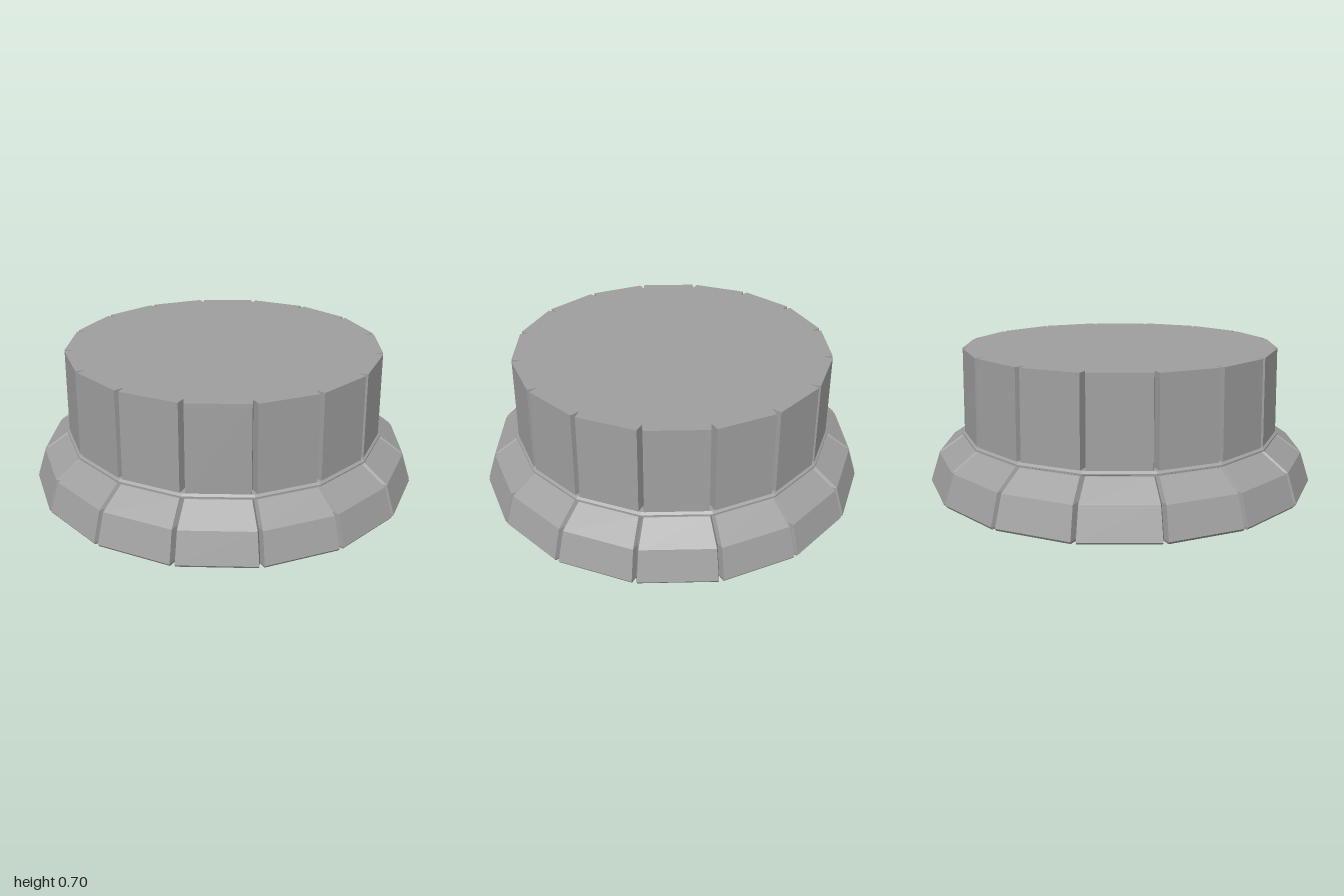
import * as THREE from 'three';

const SIDES = 16;
const PHASE = THREE.MathUtils.degToRad(5.4);

// Outline of a regular polygon whose corners are cut by narrow V notches.
function outline(radius, halfGap, depth) {
  const corner = (k) => {
    const a = PHASE + (k * 2 * Math.PI) / SIDES;
    return new THREE.Vector2(Math.cos(a), Math.sin(a)).multiplyScalar(radius);
  };
  const points = [];
  for (let k = 0; k < SIDES; k++) {
    const c = corner(k);
    if (!depth) { points.push(c); continue; }
    const t = halfGap / (2 * radius * Math.sin(Math.PI / SIDES));
    points.push(
      c.clone().lerp(corner(k - 1), t),
      c.clone().multiplyScalar(1 - depth / radius),
      c.clone().lerp(corner(k + 1), t),
    );
  }
  return points;
}

// Loft through [radius, y] levels, closed with a cap at each end.
function loft(name, levels, halfGap, depth, material) {
  const positions = [];
  const index = [];
  const n = depth ? SIDES * 3 : SIDES;
  for (const [r, y] of levels) {
    for (const p of outline(r, halfGap, depth)) positions.push(p.x, y, -p.y);
  }
  const last = (levels.length - 1) * n;
  const bottom = levels.length * n;
  positions.push(0, levels[0][1], 0, 0, levels[levels.length - 1][1], 0);
  for (let i = 0; i < n; i++) {
    const j = (i + 1) % n;
    for (let l = 0; l < last; l += n) {
      index.push(l + i, l + j, l + n + j, l + i, l + n + j, l + n + i);
    }
    index.push(bottom, j, i, bottom + 1, last + i, last + j);
  }
  const indexed = new THREE.BufferGeometry();
  indexed.setAttribute('position', new THREE.Float32BufferAttribute(positions, 3));
  indexed.setIndex(index);
  const geometry = indexed.toNonIndexed();
  geometry.computeVertexNormals();
  const mesh = new THREE.Mesh(geometry, material);
  mesh.name = name;
  return mesh;
}

export function createModel() {
  const group = new THREE.Group();
  group.name = 'steppedDrum';
  const stone = new THREE.MeshStandardMaterial({ color: 0x9f9f9f, flatShading: true });

  // Flared base with a sloped shoulder
  group.add(loft('flaredBase', [[0.998, 0], [1.006, 0.012], [0.957, 0.16], [0.833, 0.245]], 0.012, 0.04, stone));
  // Thin ring between the base and the drum
  group.add(loft('neckRing', [[0.822, 0.245], [0.834, 0.25], [0.834, 0.258], [0.822, 0.268]], 0, 0, stone));
  // Upright drum, slightly tapered
  group.add(loft('upperDrum', [[0.824, 0.268], [0.814, 0.70]], 0.013, 0.05, stone));

  return group;
}
